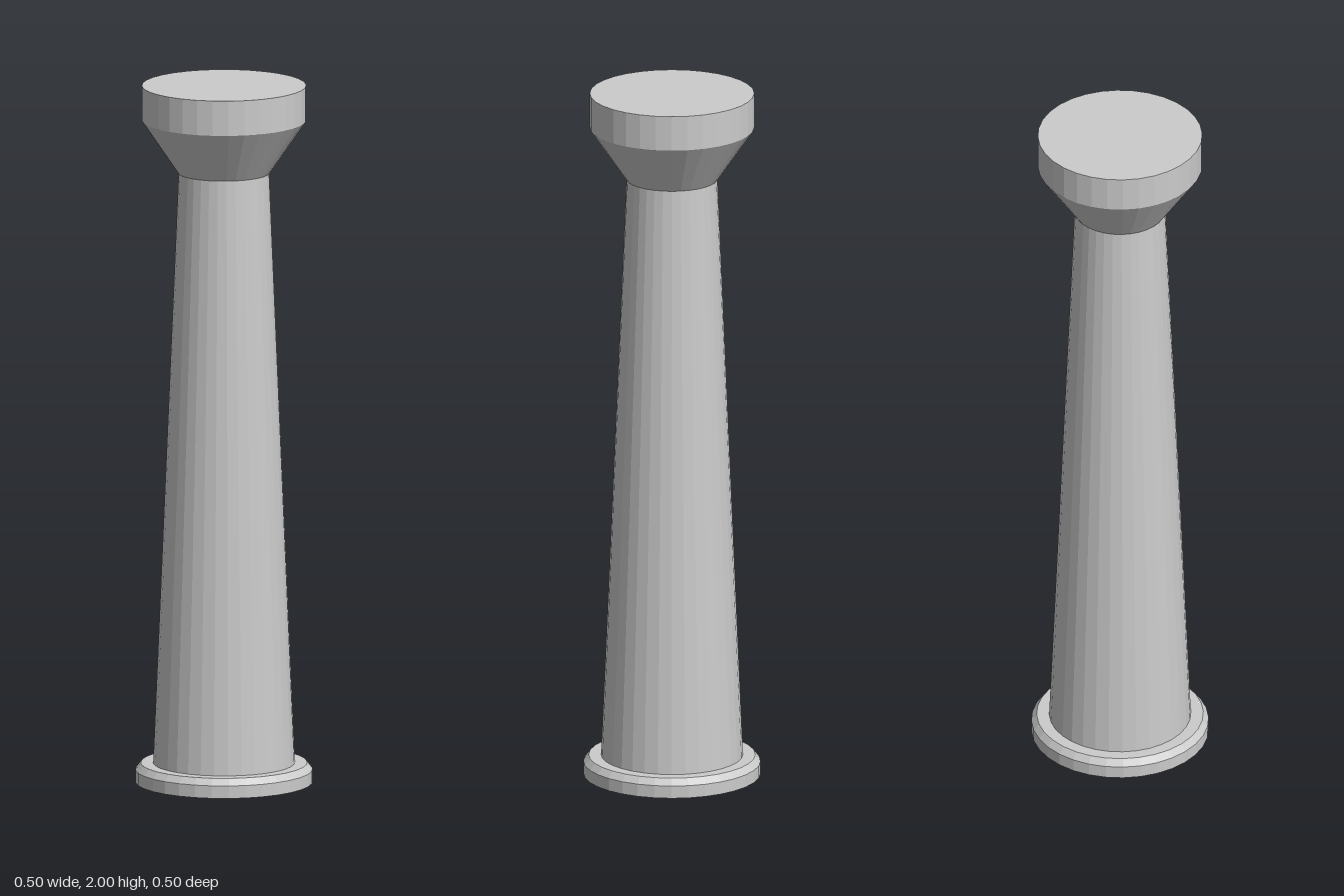
import * as THREE from 'three';

const SIDES = 32;

export function createModel() {
  const group = new THREE.Group();
  group.name = 'column';
  const material = new THREE.MeshStandardMaterial({ color: 0xcccccc, flatShading: true });

  // Each part is a faceted solid of revolution from [radius, height] points, bottom to top
  function turned(name, profile) {
    const points = profile.map(([r, y]) => new THREE.Vector2(r, y));
    const mesh = new THREE.Mesh(new THREE.LatheGeometry(points, SIDES), material);
    mesh.name = name;
    group.add(mesh);
  }

  // Round plinth with a chamfered upper rim
  turned('base', [[0, 0], [0.25, 0], [0.25, 0.036], [0.235, 0.055], [0, 0.055]]);

  // Tapered shaft
  turned('shaft', [[0.2, 0.055], [0.128, 1.75]]);

  // Flared capital with a flat drum on top
  turned('capital', [[0, 1.75], [0.13, 1.75], [0.232, 1.9], [0.232, 2], [0, 2]]);

  return group;
}
